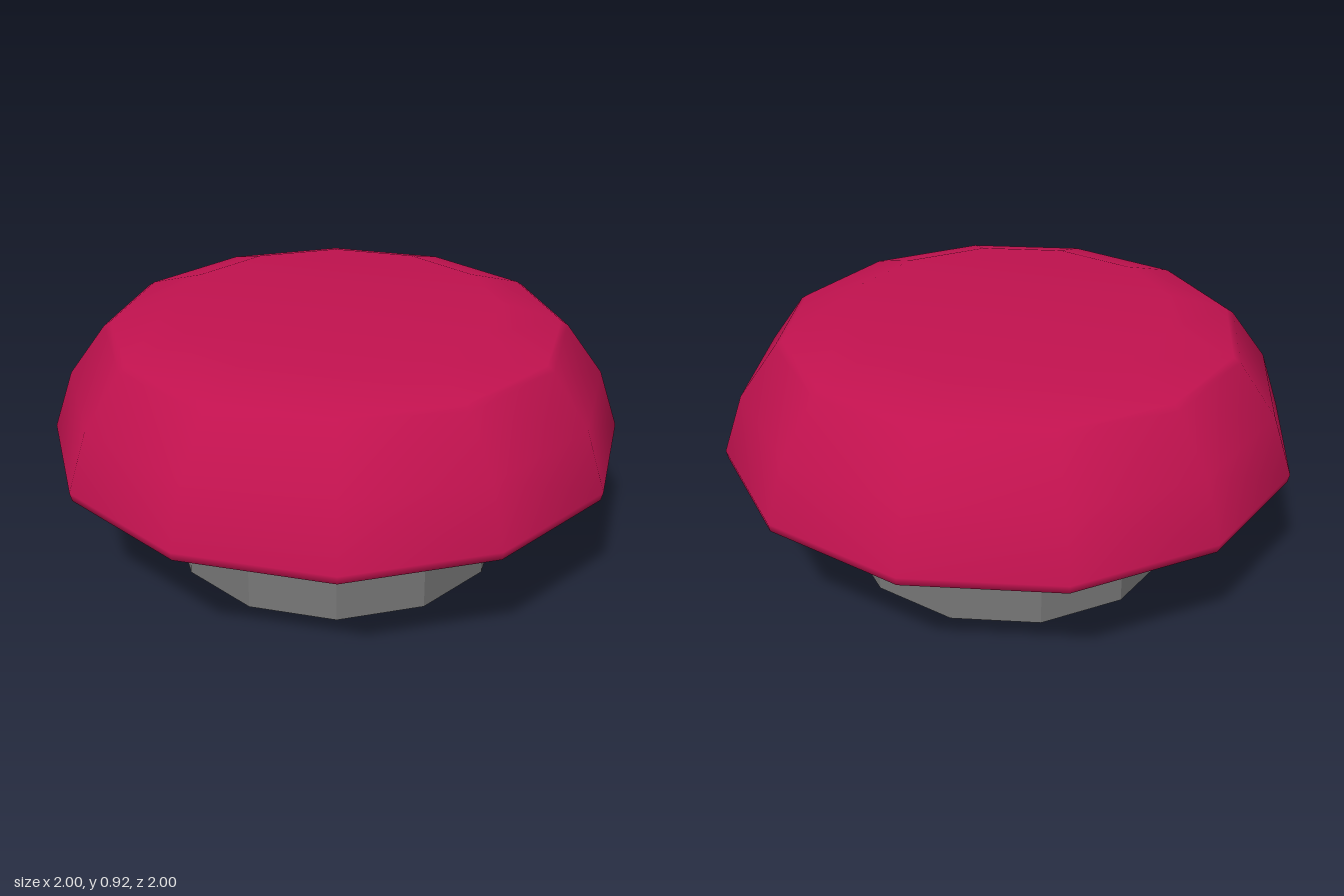
import * as THREE from 'three';

const SIDES = 12;
const TURN = THREE.MathUtils.degToRad(19.3); // shared twist of both twelve-sided parts

export function createModel() {
  const model = new THREE.Group();
  model.name = 'pushButton';

  // Domed cap: smooth-shaded lathe, from the underside centre up to the top centre
  const profile = [
    [0, 0.396], [0.96, 0.396], [0.99, 0.397], [1.01, 0.41], [1.017, 0.44],
    [0.946, 0.65], [0.815, 0.83], [0.79, 0.847], [0.575, 0.915], [0, 0.915],
  ].map(([r, y]) => new THREE.Vector2(r, y));
  const cap = new THREE.Mesh(
    new THREE.LatheGeometry(profile, SIDES, TURN),
    new THREE.MeshStandardMaterial({ color: 0xc2124f })
  );
  cap.name = 'cap';
  model.add(cap);

  // Faceted stem under the cap
  const height = 0.4;
  const stem = new THREE.Mesh(
    new THREE.CylinderGeometry(0.6, 0.6, height, SIDES, 1, false, TURN),
    new THREE.MeshStandardMaterial({ color: 0x777777, flatShading: true })
  );
  stem.name = 'stem';
  stem.position.y = height / 2;
  model.add(stem);

  return model;
}
